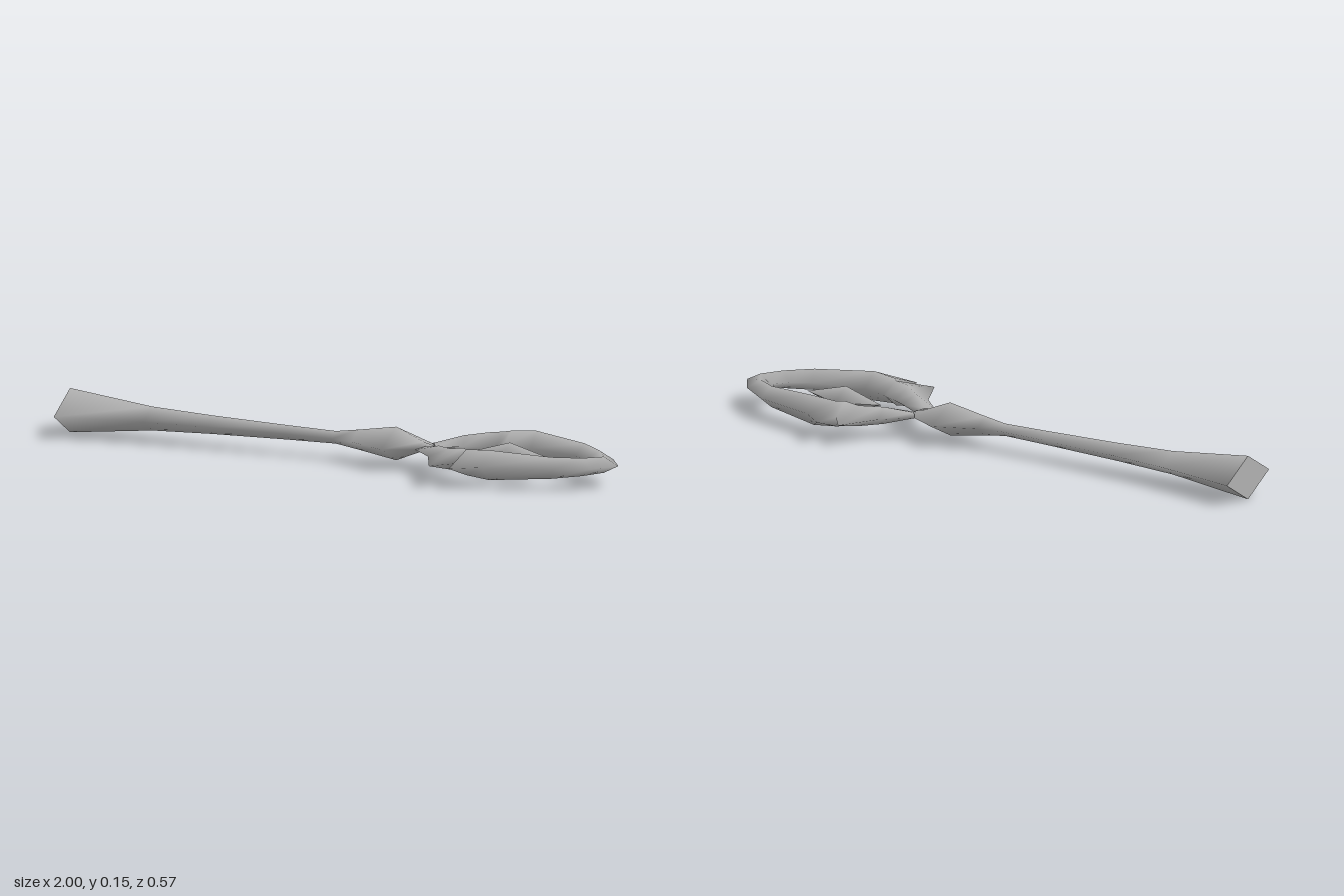
import * as THREE from 'three';

const MID = 0.075; // height of the symmetry plane

// Skin a run of four-cornered sections; optionally close both ends with flat caps
function loft(sections, caps = false) {
  const pos = sections.flat(2);
  const index = [];
  for (let i = 0; i < sections.length - 1; i++) {
    for (let j = 0; j < 4; j++) {
      const a = i * 4 + j, b = i * 4 + (j + 1) % 4;
      index.push(a, b + 4, b, a, a + 4, b + 4);
    }
  }
  if (caps) {
    const first = pos.length / 3;
    pos.push(...sections[0].flat(), ...sections[sections.length - 1].flat());
    const e = first + 4;
    index.push(first, first + 1, first + 2, first, first + 2, first + 3);
    index.push(e, e + 2, e + 1, e, e + 3, e + 2);
  }
  const geo = new THREE.BufferGeometry();
  geo.setAttribute('position', new THREE.Float32BufferAttribute(pos, 3));
  geo.setIndex(index);
  geo.computeVertexNormals();
  return geo;
}

// Diamond section across the x axis
const diamond = ([x, y, z]) => [[x, 0, z], [x, y, 0], [x, 0, -z], [x, -y, 0]];

// Section of the ring: outer edge, upper ridge, inner edge, lower ridge
function ringSection([ox, oz, ix, iz, h, t = 0.5]) {
  const rx = ox + (ix - ox) * t, rz = oz + (iz - oz) * t;
  return [[ox, 0, oz], [rx, h, rz], [ix, 0, iz], [rx, -h, rz]];
}

export function createModel() {
  const group = new THREE.Group();
  const grey = new THREE.MeshStandardMaterial({ color: 0xb0b0b0 });
  grey.name = 'grey metal';

  const add = (name, geo) => {
    const mesh = new THREE.Mesh(geo, grey);
    mesh.name = name;
    mesh.position.y = MID;
    group.add(mesh);
  };

  // Handle: x, half height, half width, flared at the butt with a swelling at the neck
  add('handle', loft([
    [-1, 0.074, 0.12], [-0.7, 0.04, 0.065], [-0.48, 0.031, 0.044], [-0.2, 0.024, 0.028],
    [-0.03, 0.021, 0.027], [0.05, 0.033, 0.046], [0.19, 0.056, 0.11],
    [0.29, 0.015, 0.06], [0.325, 0.006, 0.012],
  ].map(diamond), true));

  // Head ring: outer x, z, inner x, z, ridge half height, ridge place
  const arm = [
    [0.29, 0.06, 0.335, 0, 0.008], [0.375, 0.14, 0.41, 0.045, 0.029],
    [0.445, 0.275, 0.46, 0.07, 0.035, 0.65], [0.505, 0.2, 0.51, 0.09, 0.042],
    [0.522, 0.285, 0.53, 0.1, 0.043, 0.65], [0.608, 0.22, 0.62, 0.125, 0.05],
    [0.835, 0.16, 0.8, 0.085, 0.036], [0.942, 0.085, 0.86, 0.045, 0.03],
  ];
  const mirrored = arm.slice().reverse().map(([ox, oz, ix, iz, ...r]) => [ox, -oz, ix, -iz, ...r]);
  const ring = [...arm, [1, 0, 0.895, 0, 0.027], ...mirrored];
  add('headRing', loft(ring.map(ringSection), true));

  // Floating crystal in the middle of the ring
  add('crystal', loft([[0.465, 0, 0], [0.605, 0.042, 0.064], [0.76, 0, 0]].map(diamond)));

  return group;
}
